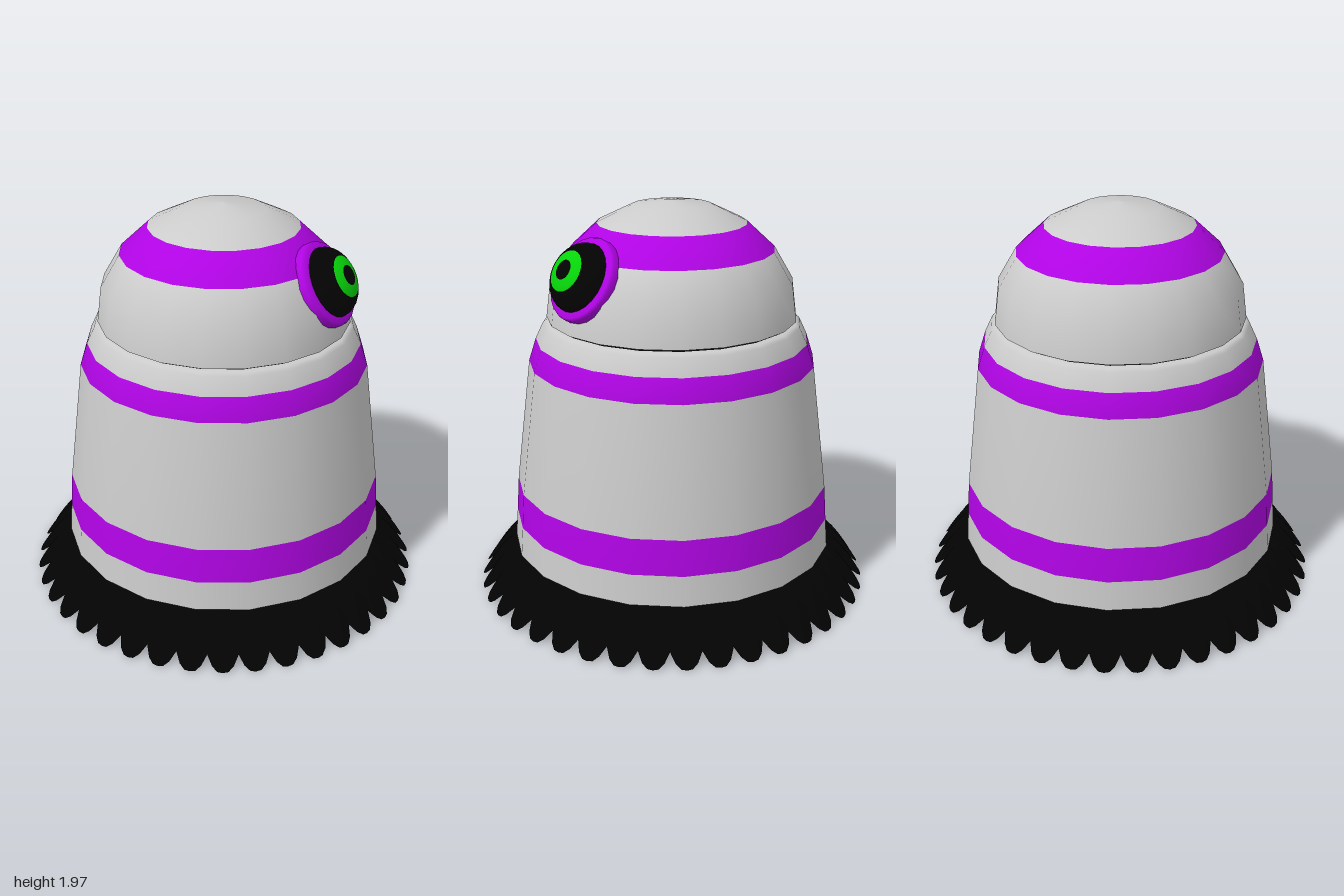
import * as THREE from 'three';

const SIDES = 20;
const mat = (color) => new THREE.MeshStandardMaterial({ color, side: THREE.DoubleSide });
const grey = mat(0xcccccc);
const purple = mat(0xb004e4);
const black = mat(0x030303);
const green = mat(0x06d40a);

function addMesh(parent, name, geometry, material) {
  const mesh = new THREE.Mesh(geometry, material);
  mesh.name = name;
  parent.add(mesh);
  return mesh;
}

// Lathe one smooth profile, then split it into coloured bands that share its normals.
// bands: [name, material, first profile point, last profile point]
function bandedLathe(parent, profile, sides, bands) {
  const points = profile.map(([r, y]) => new THREE.Vector2(r, y));
  for (const [name, material, from, to] of bands) {
    const geometry = new THREE.LatheGeometry(points, sides);
    const source = geometry.index.array;
    const kept = [];
    const rows = points.length - 1;
    for (let s = 0; s < sides; s++) {
      for (let j = from; j < to; j++) {
        const start = (s * rows + j) * 6;
        for (let k = 0; k < 6; k++) kept.push(source[start + k]);
      }
    }
    geometry.setIndex(kept);
    addMesh(parent, name, geometry, material);
  }
}

// Flat round cap, aligned with the lathe's corners
function addDisc(parent, name, radius, y, facingUp, material) {
  const disc = addMesh(parent, name, new THREE.CircleGeometry(radius, SIDES), material);
  disc.rotation.x = facingUp ? -Math.PI / 2 : Math.PI / 2;
  disc.position.y = y;
}

// Flared, pleated fringe whose lower edge is cut into pointed teeth
function fringeGeometry(teeth) {
  const curve = new THREE.SplineCurve([
    [0.79, 0.222], [0.86, 0.18], [0.917, 0.122], [0.962, 0.062], [1.0, 0.003],
  ].map(([r, y]) => new THREE.Vector2(r, y)));
  const reach = [0.64, 0.85, 0.965, 1, 0.965, 0.85]; // valley, flanks, tip, flanks
  const pleat = [0.025, 0.01, 0.002, 0, 0.002, 0.01]; // fold depth between teeth
  const rows = 6;
  const columns = teeth * reach.length;
  const positions = [];
  const index = [];
  for (let c = 0; c < columns; c++) {
    const angle = ((c - 3) / columns) * Math.PI * 2;
    const k = c % reach.length;
    for (let j = 0; j <= rows; j++) {
      const p = curve.getPoint((j / rows) * reach[k]);
      const y = p.y - pleat[k] * (j / rows);
      positions.push(p.x * Math.sin(angle), y, p.x * Math.cos(angle));
      if (j === rows) continue;
      const a = c * (rows + 1) + j;
      const b = ((c + 1) % columns) * (rows + 1) + j;
      index.push(a, a + 1, b, b, a + 1, b + 1);
    }
  }
  const geometry = new THREE.BufferGeometry();
  geometry.setAttribute('position', new THREE.Float32BufferAttribute(positions, 3));
  geometry.setIndex(index);
  geometry.computeVertexNormals();
  return geometry;
}

function createBody() {
  const body = new THREE.Group();
  body.name = 'body';
  bandedLathe(body, [
    [0.817, 0.222], [0.805, 0.373], [0.792, 0.55], [0.712, 1.177],
    [0.675, 1.29], [0.637, 1.37], [0.618, 1.383], [0.595, 1.387],
  ], SIDES, [
    ['bodyHem', grey, 0, 1],
    ['lowerStripe', purple, 1, 2],
    ['bodyWall', grey, 2, 3],
    ['upperStripe', purple, 3, 4],
    ['bodyShoulder', grey, 4, 7],
  ]);
  addDisc(body, 'bodyTop', 0.595, 1.387, true, black);
  addDisc(body, 'bodyBase', 0.83, 0.197, false, black);
  return body;
}

function createHead() {
  const head = new THREE.Group();
  head.name = 'head';
  bandedLathe(head, [
    [0.618, 1.4], [0.595, 1.575], [0.502, 1.733], [0.365, 1.86], [0.195, 1.942], [0, 1.968],
  ], SIDES, [
    ['headWall', grey, 0, 2],
    ['headStripe', purple, 2, 3],
    ['headCrown', grey, 3, 5],
  ]);
  addDisc(head, 'headUnderside', 0.618, 1.4, false, black);
  return head;
}

// Domed eye, built along +y and tilted outwards to the model's left
function createEye() {
  const eye = new THREE.Group();
  eye.name = 'eye';
  bandedLathe(eye, [
    [0.18, -0.06], [0.2, -0.04], [0.206, -0.01], [0.206, 0.02], [0.198, 0.037], [0.16, 0.04],
  ], 24, [['eyeRim', purple, 0, 5]]);
  const dome = [0.17, 0.162, 0.147, 0.125, 0.1, 0.075, 0.048, 0.025, 0]
    .map((r) => [r, 0.035 + 0.112 * Math.sqrt(1 - (r / 0.17) ** 2)]);
  bandedLathe(eye, dome, 24, [
    ['eyeball', black, 0, 4],
    ['iris', green, 4, 6],
    ['pupil', black, 6, 8],
  ]);
  eye.position.set(0.517, 1.648, 0);
  eye.rotation.z = -THREE.MathUtils.degToRad(60);
  return eye;
}

export function createModel() {
  const model = new THREE.Group();
  model.name = 'model';
  addMesh(model, 'fringe', fringeGeometry(40), black);
  model.add(createBody(), createHead(), createEye());
  return model;
}
